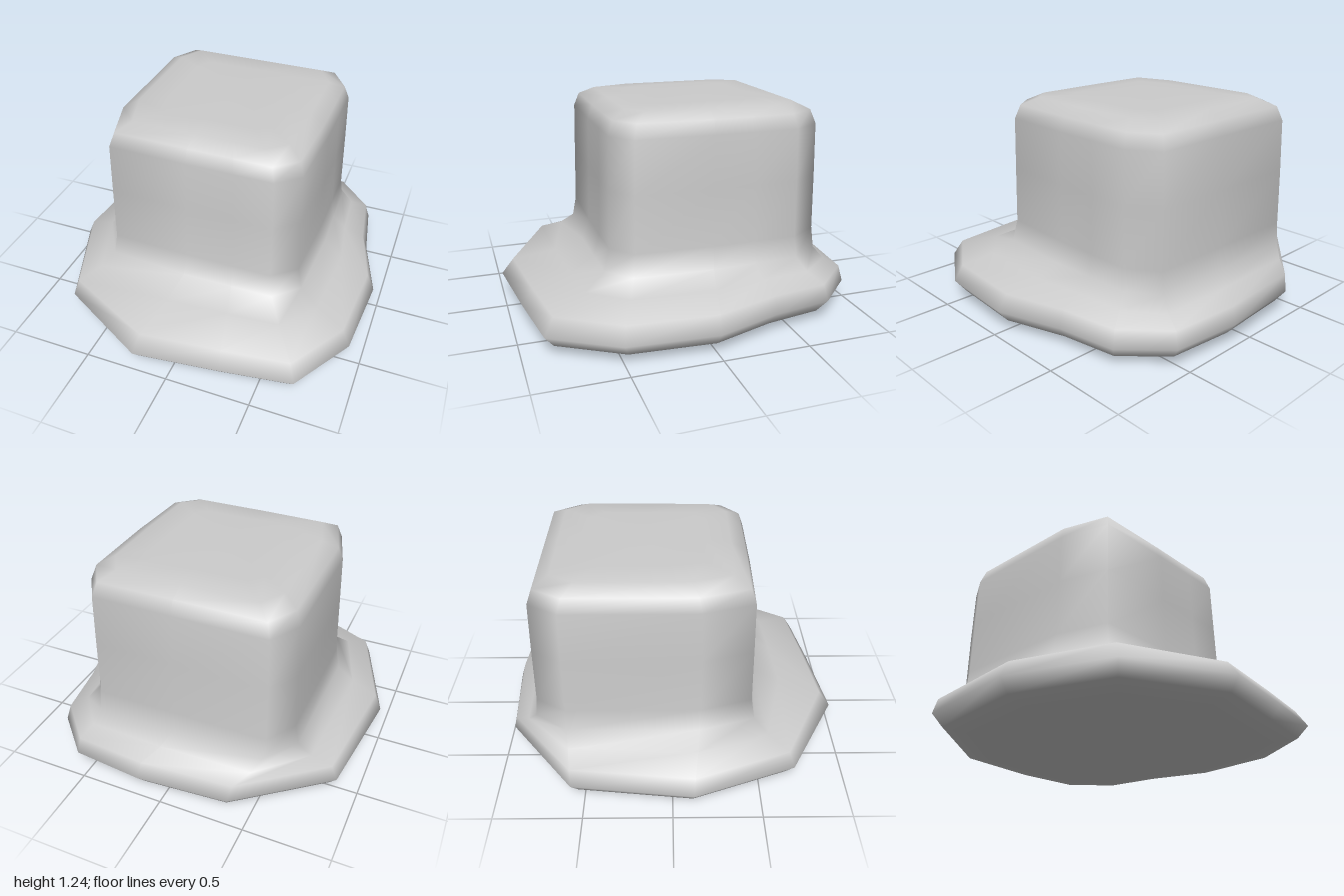
import * as THREE from 'three';

// Matching outlines of brim and crown [x, z], anticlockwise from the front
const brim = [[-0.2, 1], [0.3, 0.94], [0.71, 0.88], [0.93, 0.51], [0.965, 0], [0.84, -0.38], [0.78, -0.73],
  [0.55, -0.96], [0.14, -1], [-0.39, -0.96], [-0.89, -0.57], [-0.97, 0.12], [-0.75, 0.7]];
const crown = [[-0.08, 0.46], [0.2, 0.46], [0.43, 0.46], [0.56, 0.35], [0.58, -0.1], [0.58, -0.35], [0.58, -0.6],
  [0.47, -0.77], [0, -0.77], [-0.54, -0.77], [-0.64, -0.6], [-0.64, 0.16], [-0.55, 0.45]];
const crownCentre = [-0.03, -0.155];

const mix = (from, to, t) => from.map((p, i) => [p[0] + (to[i][0] - p[0]) * t, p[1] + (to[i][1] - p[1]) * t]);
const brimRing = (s, y) => ({ y, pts: brim.map(([x, z]) => [x * s, z * s]) });
const slopeRing = (t, y) => ({ y, pts: mix(crown, brim, t) });
const crownRing = (s, y) => ({ y, pts: mix(crown.map(() => crownCentre), crown, s) });

// Skin stacked rings from bottom to top and close both ends with a fan
function loft(rings, bottom, top) {
  const n = rings[0].pts.length, pos = [], idx = [];
  rings.forEach(r => r.pts.forEach(([x, z]) => pos.push(x, r.y, z)));
  const b = rings.length * n, t = b + 1, last = b - n;
  pos.push(...bottom, ...top);
  for (let i = 0; i < n; i++) {
    const k = (i + 1) % n;
    for (let j = 0; j < rings.length - 1; j++) {
      const a = j * n + i, c = j * n + k;
      idx.push(a, c, c + n, a, c + n, a + n);
    }
    idx.push(b, k, i, t, last + i, last + k);
  }
  const g = new THREE.BufferGeometry();
  g.setAttribute('position', new THREE.Float32BufferAttribute(pos, 3));
  g.setIndex(idx);
  g.computeVertexNormals();
  return g;
}

export function createModel() {
  const group = new THREE.Group();
  group.name = 'hat';
  const rings = [
    // underside and rolled edge of the brim
    brimRing(0.5, 0.01), brimRing(0.8, 0.03), brimRing(0.94, 0.055), brimRing(1, 0.13),
    // top of the brim sweeping up to the crown
    slopeRing(0.87, 0.225), slopeRing(0.4, 0.275), slopeRing(0.09, 0.345), slopeRing(0.01, 0.47),
    // crown wall and its rounded upper edge
    crownRing(0.995, 0.8), crownRing(0.985, 1.1), crownRing(0.94, 1.18), crownRing(0.8, 1.225), crownRing(0.55, 1.233),
  ];
  const hat = new THREE.Mesh(
    loft(rings, [0, 0, 0], [crownCentre[0], 1.235, crownCentre[1]]),
    new THREE.MeshStandardMaterial({ color: 0xcccccc }));
  hat.name = 'crownAndBrim';
  group.add(hat);
  return group;
}
